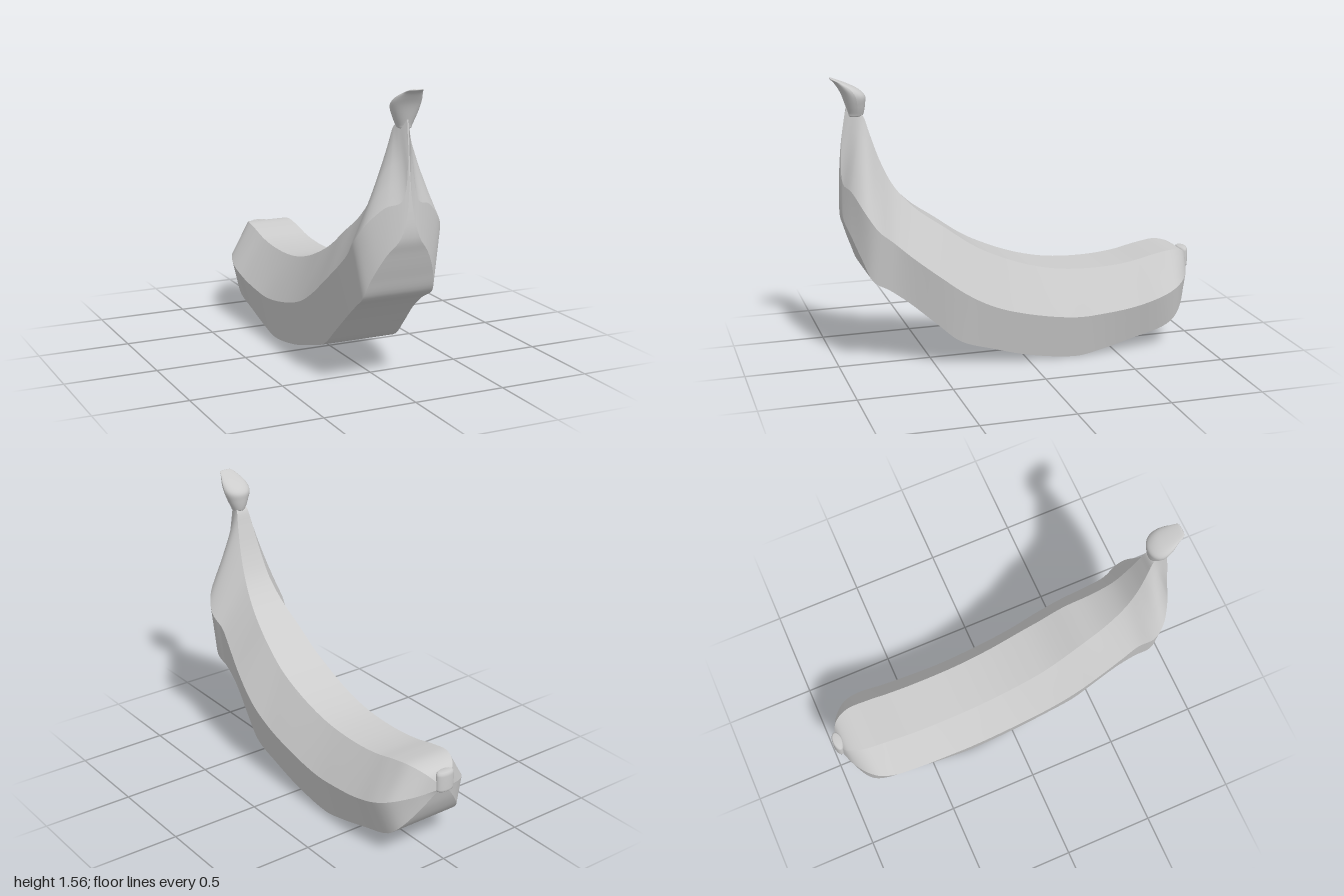
import * as THREE from 'three';

// Surface from a grid of points: u runs along the part, v around it
function gridSurface(point, nu, nv) {
  const pos = [], index = [];
  for (let i = 0; i <= nu; i++) {
    for (let j = 0; j <= nv; j++) pos.push(...point(i / nu, j / nv).toArray());
  }
  for (let i = 0; i < nu; i++) {
    for (let j = 0; j < nv; j++) {
      const a = i * (nv + 1) + j, b = a + nv + 1;
      index.push(a, b, a + 1, b, b + 1, a + 1);
    }
  }
  const g = new THREE.BufferGeometry();
  g.setAttribute('position', new THREE.Float32BufferAttribute(pos, 3));
  g.setIndex(index);
  g.computeVertexNormals();
  return g;
}

// Long edges of the six-sided fruit, tip to stalk: half width, y, z
const topEdge = [
  [.035, .45, -.975], [.09, .505, -.94], [.125, .53, -.86], [.132, .515, -.74], [.133, .485, -.6],
  [.133, .47, -.43], [.133, .48, -.2], [.134, .525, 0], [.135, .605, .2], [.13, .66, .3],
  [.12, .76, .44], [.1, .86, .58], [.08, .98, .69], [.065, 1.12, .76], [.048, 1.27, .81],
  [.035, 1.36, .84], [.03, 1.38, .87], [.015, 1.4, .9], [.004, 1.4, .92],
];
const sideEdge = [
  [.04, .41, -.975], [.15, .385, -.93], [.235, .35, -.85], [.265, .315, -.76], [.268, .27, -.6],
  [.267, .245, -.4], [.266, .24, -.25], [.266, .28, 0], [.267, .34, .2], [.267, .42, .35],
  [.255, .53, .5], [.235, .64, .64], [.225, .72, .73], [.24, .79, .81], [.21, .88, .87],
  [.12, .98, .925], [.045, 1.01, .955], [.012, 1.2, .95], [.004, 1.4, .92],
];
const bottomEdge = [
  [.03, .4, -.97], [.12, .29, -.93], [.19, .19, -.87], [.208, .13, -.8], [.21, .07, -.6],
  [.212, .02, -.4], [.213, 0, -.27], [.213, .035, 0], [.213, .09, .2], [.21, .15, .38],
  [.2, .25, .5], [.185, .38, .65], [.185, .455, .75], [.195, .51, .835], [.17, .62, .885],
  [.115, .74, .93], [.05, .83, .96], [.01, 1.0, .957], [.004, 1.4, .92],
];

// The front leans slightly towards -x
const lean = (z) => -0.02 * THREE.MathUtils.smoothstep(z, 0.35, 0.8);
const rail = (edge, side) => new THREE.CatmullRomCurve3(
  edge.map(([x, y, z]) => new THREE.Vector3(side * x + lean(z), y, z)));

export function createModel() {
  const model = new THREE.Group();
  const skin = new THREE.MeshStandardMaterial({ color: 0xcccccc });
  skin.name = 'pale grey';
  const add = (name, geometry, parent = model) => {
    const mesh = new THREE.Mesh(geometry, skin);
    mesh.name = name;
    parent.add(mesh);
    return mesh;
  };

  // Peel: six panels, each smooth along its length with sharp edges between
  const peel = new THREE.Group();
  peel.name = 'peel';
  model.add(peel);
  const rails = [rail(topEdge, -1), rail(topEdge, 1), rail(sideEdge, 1),
    rail(bottomEdge, 1), rail(bottomEdge, -1), rail(sideEdge, -1)];
  const names = ['topPanel', 'upperLeftPanel', 'lowerLeftPanel',
    'bottomPanel', 'lowerRightPanel', 'upperRightPanel'];
  names.forEach((name, k) => {
    const a = rails[k], b = rails[(k + 1) % 6];
    add(name, gridSurface((u, v) => a.getPoint(u).lerp(b.getPoint(u), v), 90, 4), peel);
  });

  // Stalk: rounded sections [back z, back y, front z, front y, half width], swept forward
  const sections = [
    [.875, 1.355, .876, 1.355, .001], [.835, 1.355, .908, 1.355, .034], [.828, 1.37, .91, 1.37, .042],
    [.82, 1.42, .922, 1.41, .062], [.82, 1.46, .945, 1.475, .078], [.85, 1.493, .968, 1.515, .072],
    [.91, 1.525, .985, 1.538, .055], [.985, 1.555, .999, 1.55, .037], [.995, 1.556, .997, 1.555, .004],
  ];
  const backs = new THREE.CatmullRomCurve3(sections.map((s) => new THREE.Vector3(-s[4], s[1], s[0])));
  const fronts = new THREE.CatmullRomCurve3(sections.map((s) => new THREE.Vector3(s[4], s[3], s[2])));
  add('stalk', gridSurface((u, v) => {
    const a = v * Math.PI * 2, back = backs.getPoint(u), front = fronts.getPoint(u);
    const p = back.clone().lerp(front, 0.5 + 0.5 * Math.sin(a));
    p.x = front.x * Math.cos(a) - 0.015;
    return p;
  }, 40, 28));

  // Tip: small upright oval nub with softened rims
  const nub = [[0, -.055], [.8, -.055], [.96, -.05], [1, -.04], [1, .035], [.94, .048], [.75, .055], [0, .055]];
  const tip = add('tip', new THREE.LatheGeometry(nub.map(([x, y]) => new THREE.Vector2(x, y)), 24));
  tip.scale.set(.055, 1, .029);
  tip.position.set(-.013, .452, -.971);

  return model;
}
